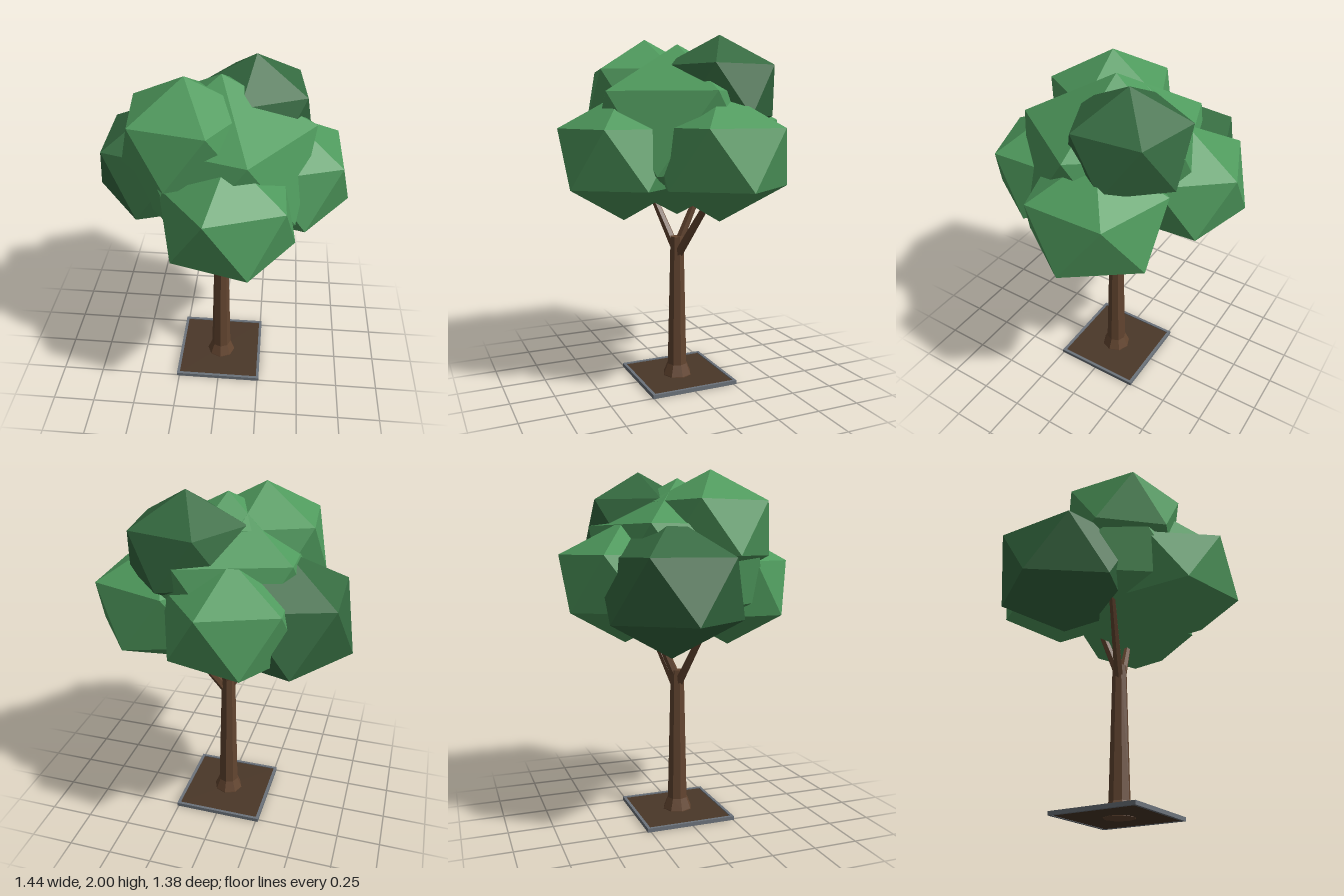
import * as THREE from 'three';

const material = (name, color) => {
  const m = new THREE.MeshStandardMaterial({ color, flatShading: true });
  m.name = name;
  return m;
};

export function createModel() {
  const tree = new THREE.Group();
  tree.name = 'tree';
  const lightLeaf = material('light leaf green', 0x4f9a5d);
  const darkLeaf = material('dark leaf green', 0x356a40);
  const bark = material('bark brown', 0x634530);
  const soilBrown = material('soil brown', 0x4a3728);
  const kerbGrey = material('kerb grey', 0x6c737b);

  const add = (name, geometry, mat) => {
    const mesh = new THREE.Mesh(geometry, mat);
    mesh.name = name;
    tree.add(mesh);
    return mesh;
  };

  // Square planting bed: grey kerb frame around a soil slab
  const half = 0.262, inner = 0.245;
  const square = (Type, s) => new Type([[-s, -s], [s, -s], [s, s], [-s, s]].map(p => new THREE.Vector2(...p)));
  const frame = square(THREE.Shape, half);
  frame.holes.push(square(THREE.Path, inner));
  const kerbGeometry = new THREE.ExtrudeGeometry(frame, { depth: 0.022, bevelEnabled: false });
  kerbGeometry.rotateX(-Math.PI / 2);
  add('kerb', kerbGeometry, kerbGrey).position.set(-0.003, 0, -0.007);
  add('soil', new THREE.BoxGeometry(inner * 2, 0.014, inner * 2), soilBrown).position.set(-0.003, 0.009, -0.007);

  // Tapered octagonal trunk with a flared foot
  const profile = [[0, 0], [0.09, 0], [0.086, 0.02], [0.06, 0.085], [0.041, 0.86], [0, 0.86]];
  add('trunk', new THREE.LatheGeometry(profile.map(p => new THREE.Vector2(...p)), 8), bark);

  // Branches leaning out of the trunk top
  const branch = (name, from, to) => {
    const a = new THREE.Vector3(...from), b = new THREE.Vector3(...to);
    const dir = b.clone().sub(a);
    const mesh = add(name, new THREE.CylinderGeometry(0.018, 0.028, dir.length(), 6), bark);
    mesh.position.copy(a).lerp(b, 0.5);
    mesh.quaternion.setFromUnitVectors(new THREE.Vector3(0, 1, 0), dir.normalize());
  };
  branch('rightBranch', [-0.005, 0.77, 0], [-0.26, 1.21, 0.11]);
  branch('leftBranch', [0.01, 0.75, 0], [0.29, 1.17, -0.11]);
  branch('backBranch', [0, 0.8, 0], [0.015, 1.22, -0.18]);

  // Leaf clumps: icosahedra standing on a corner, turned and stretched
  const clump = (name, mat, [x, y, z], ringRadius, halfHeight, turn) => {
    const g = new THREE.IcosahedronGeometry(1, 0);
    g.rotateX(-Math.atan((1 + Math.sqrt(5)) / 2));
    g.rotateY(THREE.MathUtils.degToRad(turn));
    const r = ringRadius / 0.8944;
    g.scale(r, halfHeight, r);
    g.computeVertexNormals();
    add(name, g, mat).position.set(x, y, z);
  };
  clump('centreLeaves', lightLeaf, [0, 1.474, 0], 0.503, 0.483, 19);
  clump('frontLeaves', lightLeaf, [0.066, 1.338, 0.35], 0.352, 0.35, -16);
  clump('rightLeaves', darkLeaf, [-0.336, 1.355, -0.152], 0.388, 0.37, -53);
  clump('leftLeaves', lightLeaf, [0.347, 1.345, -0.1], 0.371, 0.352, 55);
  clump('backLeaves', lightLeaf, [-0.117, 1.384, -0.347], 0.352, 0.33, 166);
  clump('upperRightLeaves', lightLeaf, [-0.174, 1.67, 0.13], 0.339, 0.322, 24);
  clump('upperLeftLeaves', darkLeaf, [0.17, 1.695, -0.18], 0.316, 0.305, 60);
  return tree;
}
